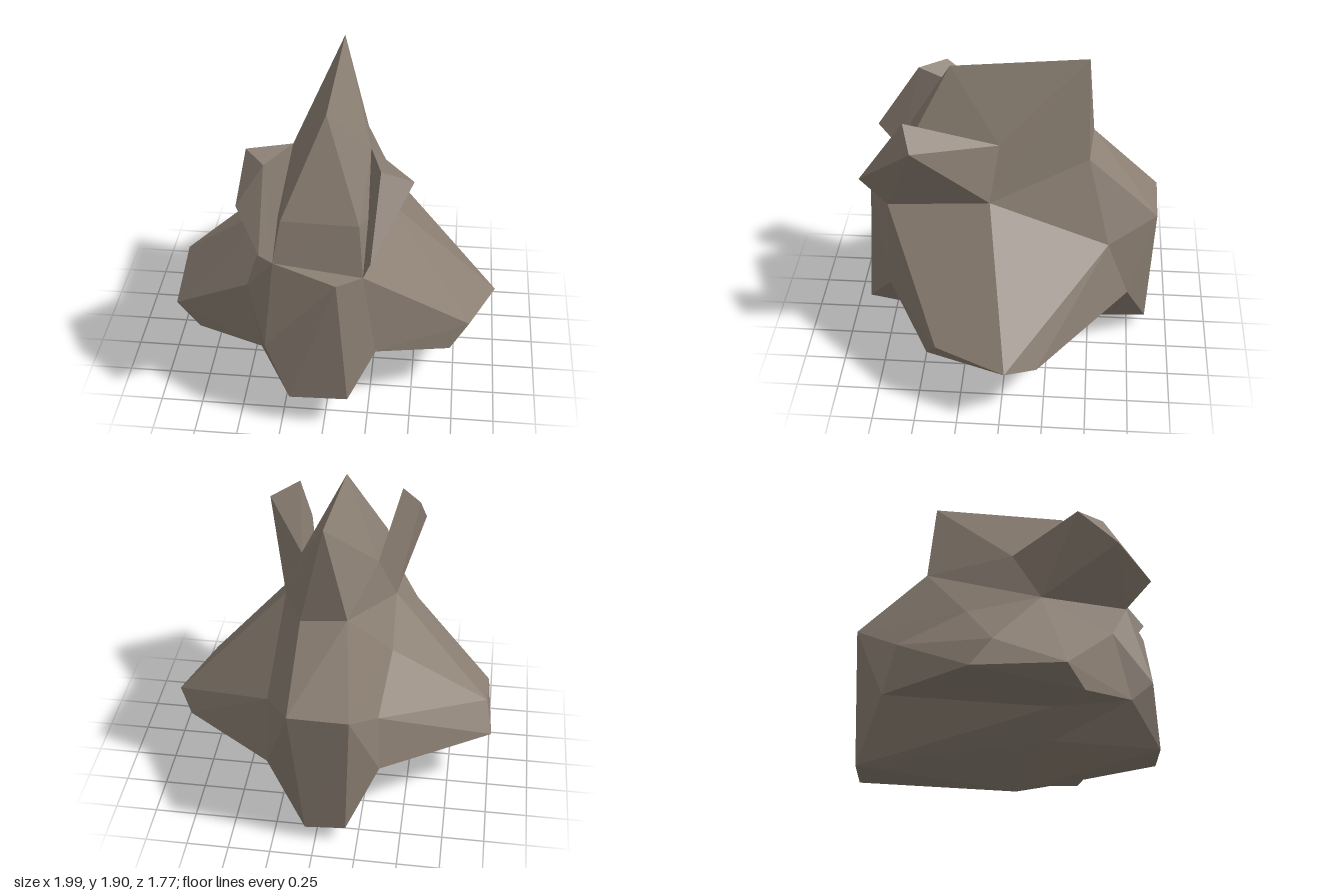
import * as THREE from 'three';
import { ConvexGeometry } from 'three/addons/geometries/ConvexGeometry.js';

// Corners shared by neighbouring chunks of the boulder
const p = {
  // crest
  ridgeFront: [-0.03, 1.81, 0.35], ridgeBack: [0, 1.9, -0.45],
  browL: [0.18, 1.28, 0.64], browR: [-0.26, 1.28, 0.63],
  templeL: [0.2, 1.43, 0.05], templeR: [-0.26, 1.42, 0.03],
  napeL: [0.13, 1.31, -0.47], napeR: [-0.14, 1.35, -0.49],
  // shoulders
  collarL: [0.21, 0.99, 0.72], collarR: [-0.3, 1.04, 0.7],
  shoulderL: [0.31, 1.1, 0.1], shoulderR: [-0.36, 1.09, 0.2],
  sideR: [-0.38, 0.985, -0.24], cheekR: [-0.47, 0.8, 0.6],
  // back
  backTopL: [0.15, 0.94, -0.885], backTopR: [-0.2, 0.94, -0.89],
  flankL: [0.31, 0.83, -0.6], flankR: [-0.34, 0.79, -0.64],
  hipL: [0.3, 0.47, -0.73], hipR: [-0.36, 0.47, -0.71],
  backLowL: [0.06, 0.09, -0.86], backLowR: [-0.18, 0.11, -0.86],
  // underside
  foot: [-0.05, 0, 0.05], keelL: [0.14, 0.09, 0.22], keelR: [-0.34, 0.2, 0.25],
  armpitL: [0.41, 0.36, 0.38], armpitR: [-0.5, 0.34, 0.25],
  frontL: [0.29, 0.46, 0.72], frontR: [-0.38, 0.43, 0.7],
};

export function createModel() {
  const group = new THREE.Group();
  const rock = new THREE.MeshStandardMaterial({ color: 0x8a7e72, flatShading: true });
  rock.name = 'rock';

  // Each chunk is a faceted hull of shared corners plus its own tip corners
  function chunk(name, shared, tips = []) {
    const corners = [...shared.split(' ').map((k) => p[k]), ...tips];
    const mesh = new THREE.Mesh(
      new ConvexGeometry(corners.map((c) => new THREE.Vector3(...c))), rock);
    mesh.name = name;
    group.add(mesh);
  }

  chunk('core', 'napeL napeR collarL collarR shoulderL shoulderR sideR cheekR ' +
    'backTopL backTopR flankL flankR hipL hipR backLowL backLowR ' +
    'foot keelL keelR armpitL armpitR frontL frontR');

  chunk('crest', 'ridgeFront ridgeBack browL browR templeL templeR napeL napeR ' +
    'collarL collarR shoulderL shoulderR');

  // Front bulge
  chunk('frontSlab', 'collarL collarR cheekR frontL frontR foot keelL keelR', [
    [0.07, 1.01, 0.84], [-0.34, 0.55, 0.83], [0.14, 0.22, 0.88], [-0.2, 0.2, 0.87],
  ]);

  // Horn-like spurs beside the crest
  chunk('leftHorn', 'templeL shoulderL collarL', [
    [0.29, 1.61, 0.59], [0.47, 1.52, 0.53], [0.26, 1.2, 0.87],
  ]);
  chunk('rightHorn', 'templeR shoulderR collarR', [
    [-0.35, 1.61, 0.58], [-0.47, 1.61, 0.42], [-0.5, 1.38, 0.65], [-0.35, 1.2, 0.85],
  ]);

  // Broad side spurs
  chunk('leftSpur', 'shoulderL flankL hipL armpitL frontL collarL', [
    [0.83, 0.43, 0.38], [0.72, 0.29, 0.45], [0.99, 0.39, -0.03], [0.88, 0.34, -0.21],
  ]);
  chunk('rightSpur', 'shoulderR sideR flankR hipR armpitR frontR cheekR', [
    [-0.96, 0.54, -0.08], [-1, 0.37, -0.2], [-0.97, 0.4, 0.31], [-0.81, 0.31, 0.41],
  ]);

  return group;
}
